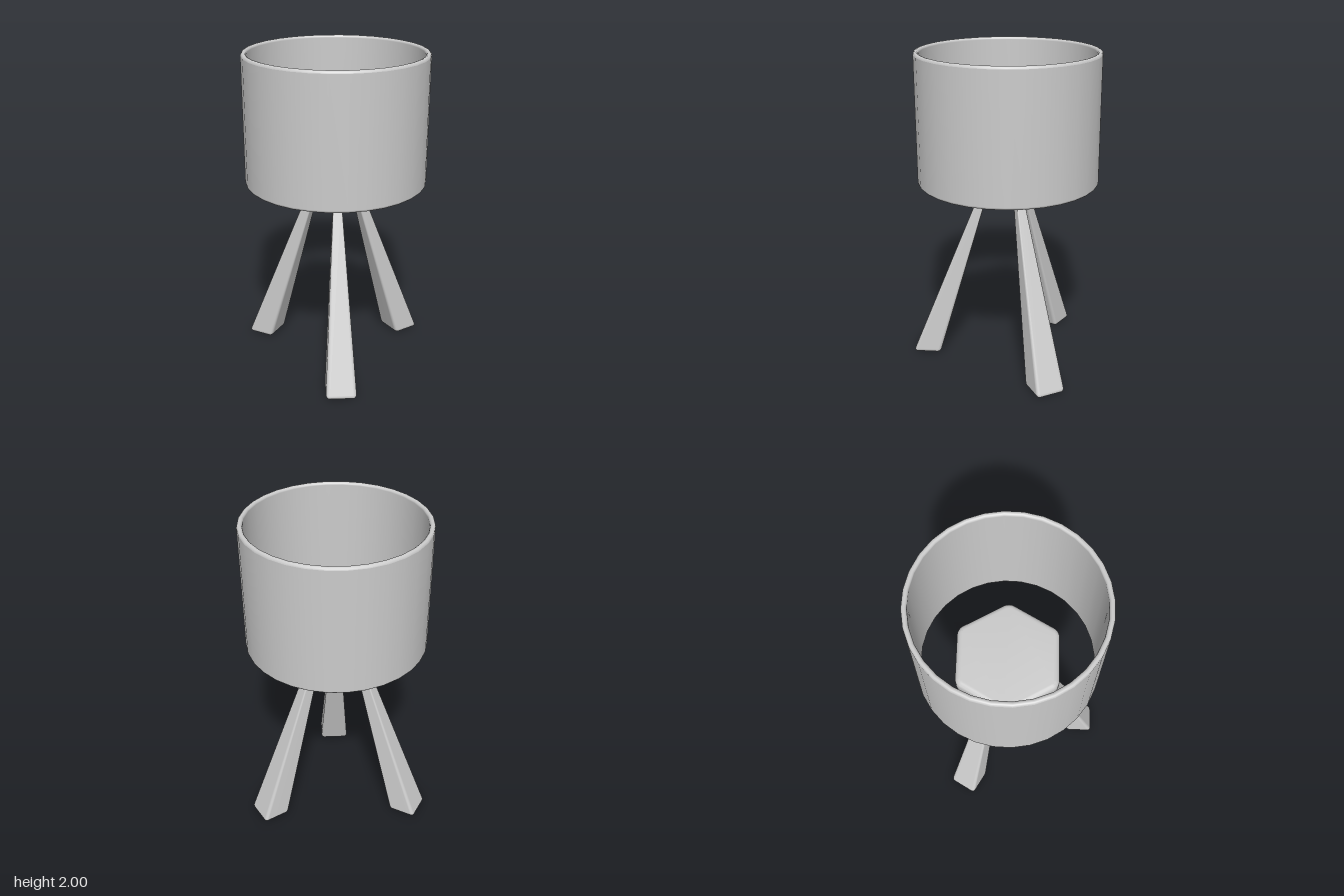
import * as THREE from 'three';
import { RoundedBoxGeometry } from 'three/addons/geometries/RoundedBoxGeometry.js';
import { mergeVertices, toCreasedNormals } from 'three/addons/utils/BufferGeometryUtils.js';

const material = new THREE.MeshStandardMaterial({ color: 0xcccccc });

function addMesh(parent, name, geometry) {
  const mesh = new THREE.Mesh(geometry, material);
  mesh.name = name;
  parent.add(mesh);
  return mesh;
}

// Open drum: a thin wall with fully rounded rims
function drumGeometry(outer, inner, bottom, top) {
  const r = (outer - inner) / 2, mid = (outer + inner) / 2;
  const points = [];
  const rim = (y, start) => {
    for (let i = 0; i <= 6; i++) {
      const a = start + (Math.PI * i) / 6;
      points.push(new THREE.Vector2(mid + r * Math.cos(a), y + r * Math.sin(a)));
    }
  };
  rim(top - r, 0);
  rim(bottom + r, Math.PI);
  points.push(points[0].clone());
  return new THREE.LatheGeometry(points, 32);
}

// Hexagonal plate with rounded corners and bevelled edges
function plateGeometry(apothem, bottom, top, bevel, corner) {
  const shape = new THREE.Shape();
  const centre = (apothem - bevel - corner) / Math.cos(Math.PI / 6);
  for (let i = 0; i < 6; i++) {
    const a = Math.PI / 6 + (i * Math.PI) / 3;
    shape.absarc(centre * Math.cos(a), centre * Math.sin(a), corner, a - Math.PI / 6, a + Math.PI / 6, false);
  }
  shape.closePath();
  const geometry = new THREE.ExtrudeGeometry(shape, {
    depth: top - bottom - 2 * bevel, bevelSize: bevel, bevelThickness: bevel,
    bevelSegments: 5, curveSegments: 5,
  });
  geometry.rotateX(-Math.PI / 2).translate(0, bottom + bevel, 0);
  return toCreasedNormals(geometry, 0.6);
}

// Splayed leg: a rounded box tapered and leaned outward along +x
function legGeometry(height) {
  const box = new RoundedBoxGeometry(1, height, 1, 3, 0.025);
  const p = box.attributes.position;
  const lerp = THREE.MathUtils.lerp;
  // keep the edge rounding in proportion to the slim section
  const soften = (v) => {
    const s = Math.abs(v), k = 0.475;
    return Math.sign(v) * (s > k ? lerp(0.38, 0.5, (s - k) / (0.5 - k)) : (s * 0.38) / k);
  };
  for (let i = 0; i < p.count; i++) {
    const t = p.getY(i) / height + 0.5;
    const x = lerp(0.5375, 0.15, t) + soften(p.getX(i)) * lerp(0.178, 0.05, t);
    p.setXYZ(i, x, t * height, soften(p.getZ(i)) * lerp(0.19, 0.052, t));
  }
  box.deleteAttribute('normal');
  box.deleteAttribute('uv');
  const leg = mergeVertices(box, 1e-5);
  leg.computeVertexNormals();
  return leg;
}

export function createModel() {
  const model = new THREE.Group();
  model.name = 'tripodStand';

  // All parts share one upright axis, slightly off the centre of the bounds
  const body = new THREE.Group();
  body.name = 'body';
  body.position.x = 0.03;
  model.add(body);

  addMesh(body, 'drum', drumGeometry(0.56, 0.528, 1.195, 2));
  addMesh(body, 'hexagonalPlate', plateGeometry(0.315, 1.138, 1.255, 0.033, 0.035));

  // Three legs, one pointing to -x
  const leg = legGeometry(1.12);
  for (let i = 0; i < 3; i++) {
    addMesh(body, 'leg' + (i + 1), leg).rotation.y = Math.PI + (i * 2 * Math.PI) / 3;
  }
  return model;
}
